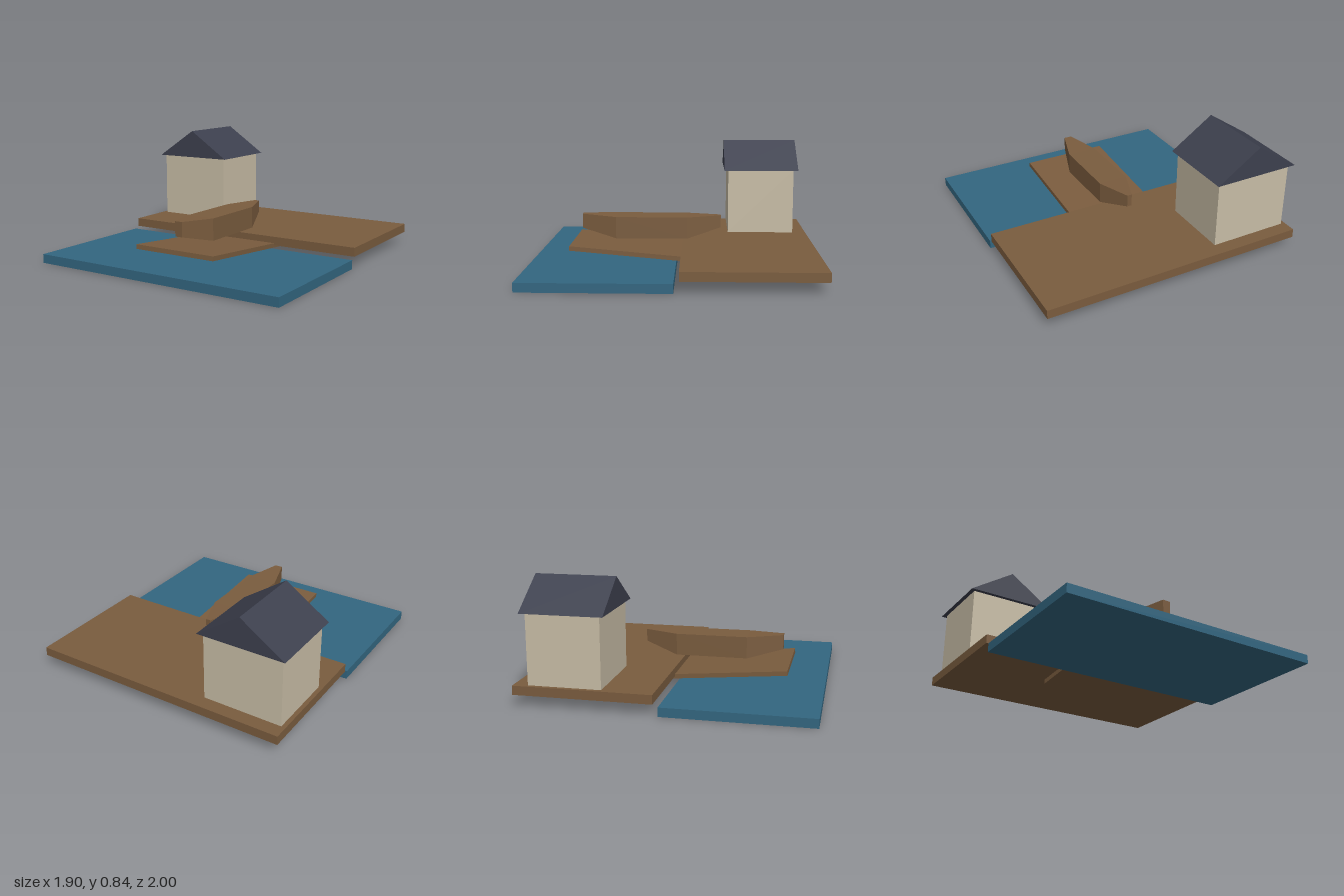
import * as THREE from 'three';

const mat = (name, color) => {
  const m = new THREE.MeshStandardMaterial({ color });
  m.name = name;
  return m;
};

// Closed solid skinned through rectangular sections [z, halfWidth, bottom, top]
function loft(sections) {
  const pos = [];
  const rings = sections.map(([z, w, b, t]) => [[-w, b, z], [w, b, z], [w, t, z], [-w, t, z]]);
  const quad = (a, b, c, d) => pos.push(...a, ...b, ...c, ...a, ...c, ...d);
  for (let i = 0; i < rings.length - 1; i++) {
    for (let k = 0; k < 4; k++) {
      const n = (k + 1) % 4;
      quad(rings[i][k], rings[i][n], rings[i + 1][n], rings[i + 1][k]);
    }
  }
  quad(...[...rings[0]].reverse());
  quad(...rings[rings.length - 1]);
  const g = new THREE.BufferGeometry();
  g.setAttribute('position', new THREE.Float32BufferAttribute(pos, 3));
  g.computeVertexNormals();
  return g;
}

export function createModel() {
  const group = new THREE.Group();
  const wood = mat('brown wood', 0x7a5c3e);
  const water = mat('blue water', 0x336680);
  const wall = mat('beige wall', 0xc8bda6);
  const slate = mat('slate roof', 0x3d404e);

  const add = (name, geometry, material) => {
    const m = new THREE.Mesh(geometry, material);
    m.name = name;
    group.add(m);
    return m;
  };
  // Box given by its extents on each axis
  const slab = (name, material, [x0, x1], [y0, y1], [z0, z1]) => {
    const m = add(name, new THREE.BoxGeometry(x1 - x0, y1 - y0, z1 - z0), material);
    m.position.set((x0 + x1) / 2, (y0 + y1) / 2, (z0 + z1) / 2);
    return m;
  };

  // Water and quay
  slab('water', water, [-0.95, 0.95], [0, 0.063], [-0.015, 1]);
  slab('quay', wood, [-0.95, 0.95], [0.079, 0.142], [-1, -0.05]);

  // Sloping slipway, rising towards the front
  const slip = slab('slipway', wood, [-0.317, 0.317], [0.082, 0.114], [-0.395, 0.745]);
  slip.rotation.x = -0.0873;

  // Boathouse with a gabled roof, ridge along z
  slab('houseWalls', wall, [-0.92, -0.35], [0.142, 0.63], [-0.9, -0.397]);
  const gable = new THREE.Shape();
  gable.moveTo(-0.95, 0.628);
  gable.lineTo(-0.32, 0.628);
  gable.lineTo(-0.635, 0.84);
  gable.closePath();
  const roof = add('roof', new THREE.ExtrudeGeometry(gable, { depth: 0.567, bevelEnabled: false }), slate);
  roof.position.z = -0.934;

  // Boat hull with tapered, upswept ends
  add('boatHull', loft([
    [-0.332, 0.018, 0.25, 0.339],
    [-0.085, 0.108, 0.18, 0.336],
    [0.43, 0.108, 0.18, 0.337],
    [0.683, 0.028, 0.242, 0.347],
  ]), wood);

  return group;
}
